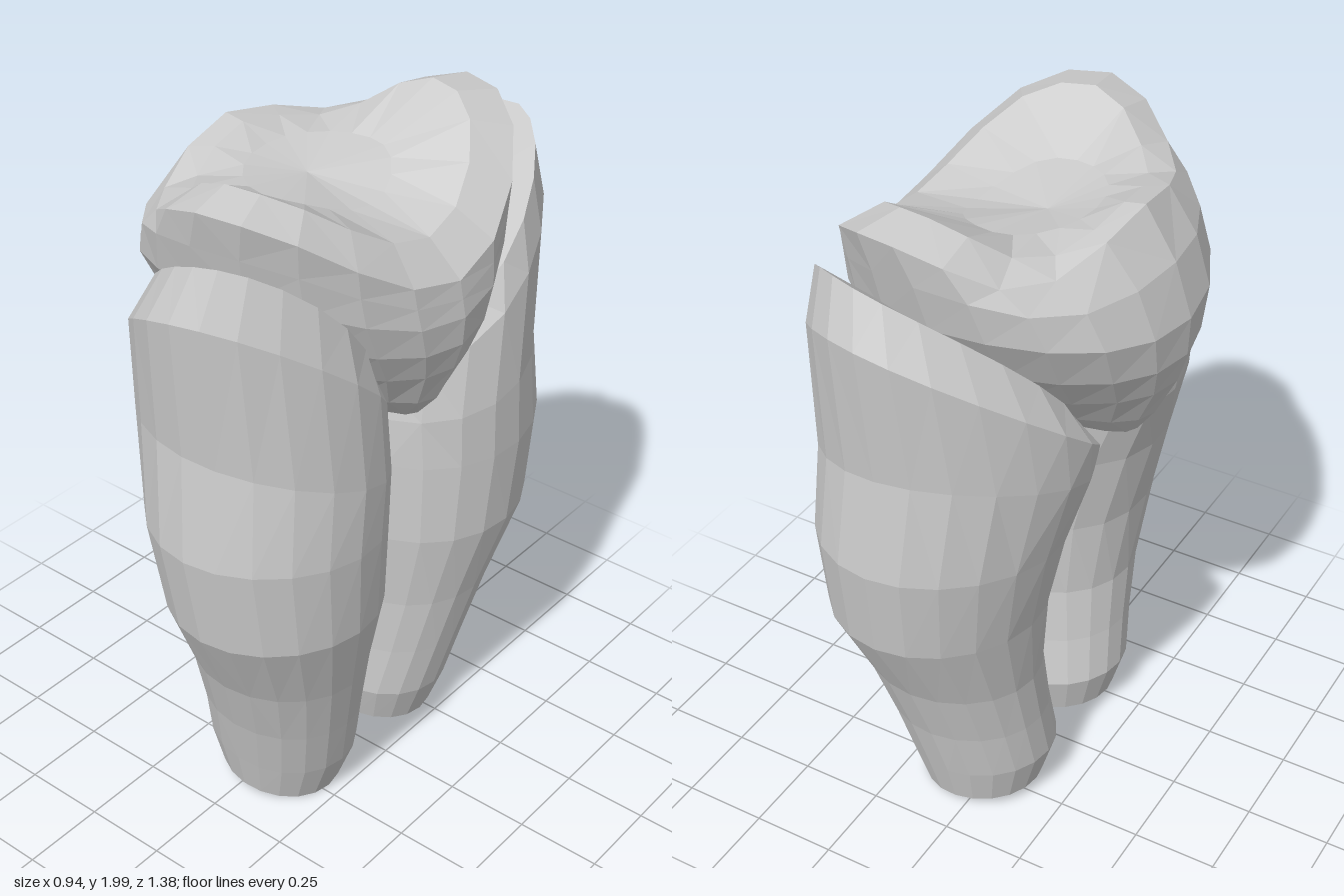
import * as THREE from 'three';

const material = new THREE.MeshStandardMaterial({ color: 0xcccccc, flatShading: true, side: THREE.DoubleSide });

// Elliptical ring spanning x0..x1 and z0..z1; height(c, s) gives y around it.
// A pinch narrows it in x towards +z (or -z when negative) and shifts that end to +x.
function ring(x0, x1, z0, z1, height, sides, pinch = 0) {
  const points = [];
  for (let j = 0; j < sides; j++) {
    const t = (j / sides) * Math.PI * 2, c = Math.cos(t), s = Math.sin(t);
    const halfWidth = ((x1 - x0) / 2) * (1 - pinch * s);
    points.push(new THREE.Vector3(
      (x0 + x1) / 2 + c * halfWidth + 0.17 * pinch * s,
      height(c, s),
      (z0 + z1) / 2 + (s * (z1 - z0)) / 2));
  }
  return points;
}

// Skin consecutive rings along the shorter diagonals, skipping collapsed triangles.
function loft(name, rings) {
  const positions = [], tri = new THREE.Triangle();
  const add = (a, b, c) => {
    if (tri.set(a, b, c).getArea() > 1e-7) for (const p of [a, b, c]) positions.push(p.x, p.y, p.z);
  };
  for (let i = 0; i < rings.length - 1; i++) {
    const low = rings[i], high = rings[i + 1], n = low.length;
    for (let j = 0; j < n; j++) {
      const k = (j + 1) % n;
      if (low[k].distanceTo(high[j]) < low[j].distanceTo(high[k])) {
        add(low[j], high[j], low[k]);
        add(low[k], high[j], high[k]);
      } else {
        add(low[j], high[j], high[k]);
        add(low[j], high[k], low[k]);
      }
    }
  }
  const geometry = new THREE.BufferGeometry();
  geometry.setAttribute('position', new THREE.Float32BufferAttribute(positions, 3));
  geometry.computeVertexNormals();
  const mesh = new THREE.Mesh(geometry, material);
  mesh.name = name;
  return mesh;
}

// Thigh: rings tilt progressively until the top slopes from groin to hip.
function thigh(name, side) {
  // x0, x1, inner z, outer z, inner y, outer y, bulge along the middle, x tilt, pinch
  const sections = [
    [0.0, 0.0, 0.22, 0.22, 0.08, 0.08, 0, 0, 0],
    [-0.08, 0.13, 0.13, 0.32, 0.06, 0.06, 0, -0.01, 0],
    [-0.15, 0.21, 0.05, 0.40, 0.04, 0.035, -0.01, -0.02, 0],
    [-0.19, 0.26, 0.02, 0.43, 0.16, 0.16, 0, -0.02, 0],
    [-0.18, 0.30, 0.04, 0.47, 0.32, 0.33, 0, -0.01, 0],
    [-0.175, 0.345, 0.05, 0.53, 0.50, 0.52, 0, 0, 0],
    [-0.20, 0.41, 0.035, 0.65, 0.75, 0.77, 0, 0, 0.05],
    [-0.255, 0.425, 0.03, 0.69, 1.00, 1.05, 0, 0, 0.1],
    [-0.315, 0.425, 0.03, 0.655, 1.15, 1.35, 0, -0.02, 0.15],
    [-0.315, 0.415, 0.05, 0.69, 1.24, 1.75, 0.01, 0.05, 0.25],
    [-0.24, 0.385, 0.12, 0.63, 1.31, 1.89, 0.045, 0.06, 0.3],
    [0.09, 0.09, 0.38, 0.38, 1.66, 1.66, 0, 0, 0],
  ];
  return loft(name, sections.map(([x0, x1, zi, zo, yi, yo, bulge, tilt, pinch]) => {
    const [z0, z1] = side > 0 ? [zi, zo] : [-zo, -zi];
    return ring(x0, x1, z0, z1,
      (c, s) => (yi + yo) / 2 + (side * s * (yo - yi)) / 2 + bulge * (1 - s * s) + tilt * c,
      20, side * pinch);
  }));
}

// Pelvis: rounded wedge below, flaring to a saddle rim, then a saddle-shaped top.
function pelvis() {
  // x0, x1, half depth, y at +x, y at the sides, y at -x, dip between side and -x
  const sections = [
    [0, 0, 0, 1.24, 1.24, 1.24, 0],
    [-0.33, 0.33, 0.11, 1.26, 1.28, 1.26, 0],
    [-0.38, 0.39, 0.19, 1.33, 1.35, 1.33, 0],
    [-0.44, 0.44, 0.30, 1.44, 1.46, 1.45, 0],
    [-0.465, 0.465, 0.41, 1.52, 1.59, 1.54, 0],
    [-0.47, 0.47, 0.50, 1.60, 1.74, 1.65, 0],
    [-0.42, 0.46, 0.53, 1.65, 1.87, 1.80, 0.04],
    [-0.33, 0.45, 0.55, 1.70, 1.98, 1.94, 0.10],
    [-0.27, 0.35, 0.42, 1.79, 2.00, 1.93, 0.08],
    [-0.19, 0.16, 0.22, 1.82, 1.88, 1.89, 0],
    [-0.05, -0.05, 0, 1.85, 1.85, 1.85, 0],
  ];
  return loft('pelvis', sections.map(([x0, x1, d, front, flank, rear, dip]) =>
    ring(x0, x1, -d, d, (c, s) => c > 0
      ? THREE.MathUtils.lerp(flank, front, c ** 3)
      : THREE.MathUtils.lerp(flank, rear, c * c) - dip * (2 * c * s) ** 2, 20)));
}

export function createModel() {
  const model = new THREE.Group();
  model.name = 'pelvisAndThighs';
  model.add(pelvis(), thigh('frontThigh', 1), thigh('backThigh', -1));
  return model;
}
